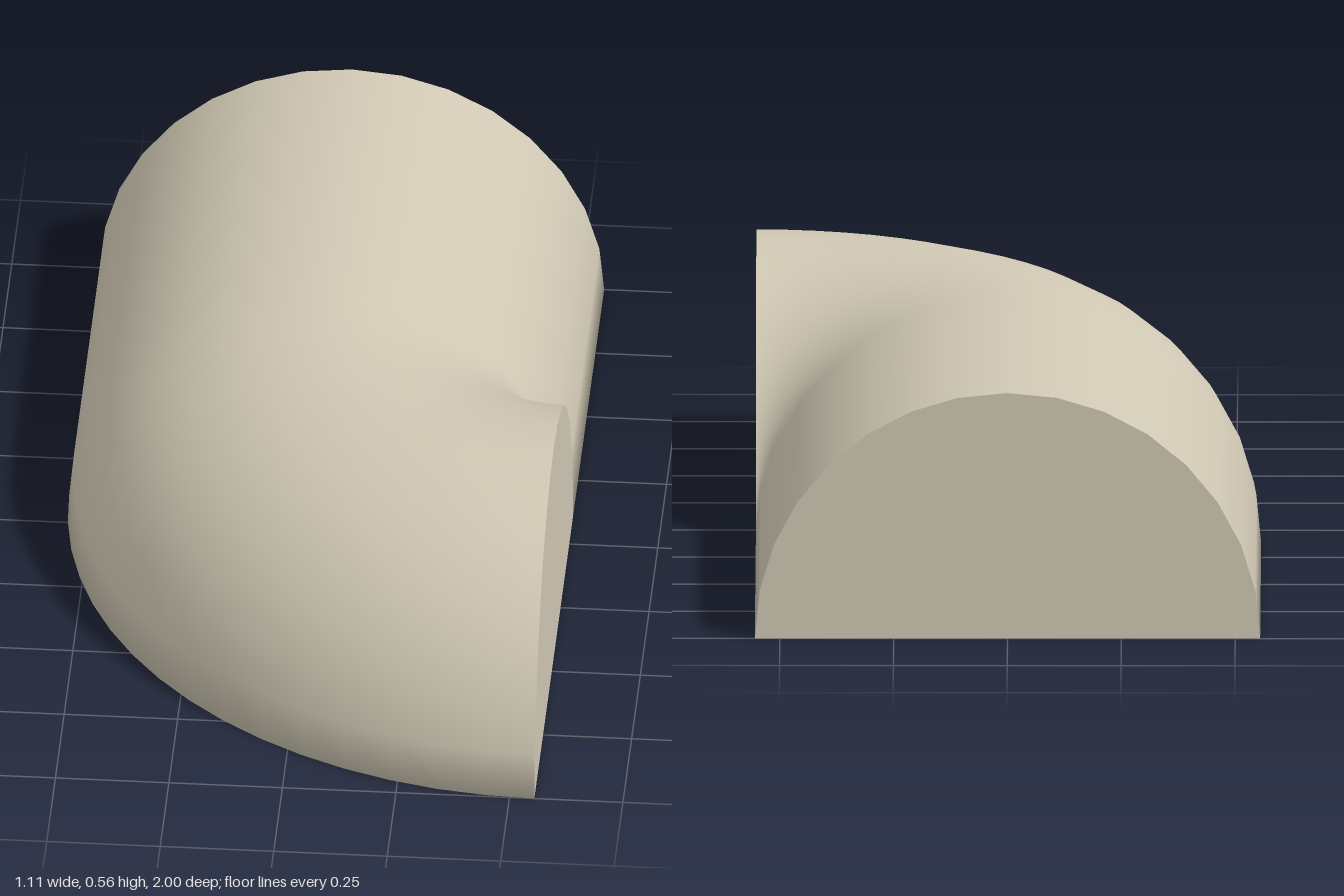
import * as THREE from 'three';

const R = 0.555;        // radius of the half-round section
const BACK = -1;        // back end of the straight run
const PIVOT_Z = -0.11;  // corner the bend turns around
const SIDES = 16;       // segments over the half circle
const BEND = 16;        // segments around the quarter turn

// Half-round section swept along a straight run and a tight quarter bend
function sweptBody() {
  const stations = [{ z: BACK, a: 0 }];
  for (let i = 0; i <= BEND; i++) stations.push({ z: PIVOT_Z, a: (i / BEND) * Math.PI / 2 });

  const positions = [], normals = [], index = [];
  const n = SIDES + 1;
  const half = Math.PI / SIDES / 2;
  for (const { z, a } of stations) {
    const dx = -Math.cos(a), dz = Math.sin(a);
    for (let k = 0; k < n; k++) {
      const t = (k / SIDES) * Math.PI;
      const out = R + R * Math.cos(t);
      positions.push(R + dx * out, R * Math.sin(t), z + dz * out);
      // the lower corners blend softly into the flat underside
      const corner = k === 0 || k === SIDES;
      const side = corner ? Math.sign(Math.cos(t)) * Math.cos(half) : Math.cos(t);
      const up = corner ? Math.sin(half) - 1 : Math.sin(t);
      const len = Math.hypot(side, up);
      normals.push(dx * side / len, up / len, dz * side / len);
    }
  }
  // k = SIDES closes the loop and makes the underside
  for (let s = 0; s < stations.length - 1; s++) {
    for (let k = 0; k < n; k++) {
      const a = s * n + k, b = s * n + (k + 1) % n;
      const c = a + n, d = b + n;
      index.push(a, c, b, b, c, d);
    }
  }
  const geo = new THREE.BufferGeometry();
  geo.setAttribute('position', new THREE.Float32BufferAttribute(positions, 3));
  geo.setAttribute('normal', new THREE.Float32BufferAttribute(normals, 3));
  geo.setIndex(index);
  return geo;
}

export function createModel() {
  const group = new THREE.Group();
  group.name = 'halfRoundElbow';
  const stone = new THREE.MeshStandardMaterial({ color: 0xd0c8b4 });
  stone.name = 'warm stone';

  const add = (name, geo) => {
    const mesh = new THREE.Mesh(geo, stone);
    mesh.name = name;
    group.add(mesh);
    return mesh;
  };

  add('body', sweptBody());

  // Flat half-disc ends
  const cap = new THREE.CircleGeometry(R, SIDES, 0, Math.PI);
  const backEnd = add('backEnd', cap);
  backEnd.position.set(0, 0, BACK);
  backEnd.rotation.y = Math.PI;
  const sideEnd = add('sideEnd', cap);
  sideEnd.position.set(R, 0, PIVOT_Z + R);
  sideEnd.rotation.y = Math.PI / 2;

  return group;
}
